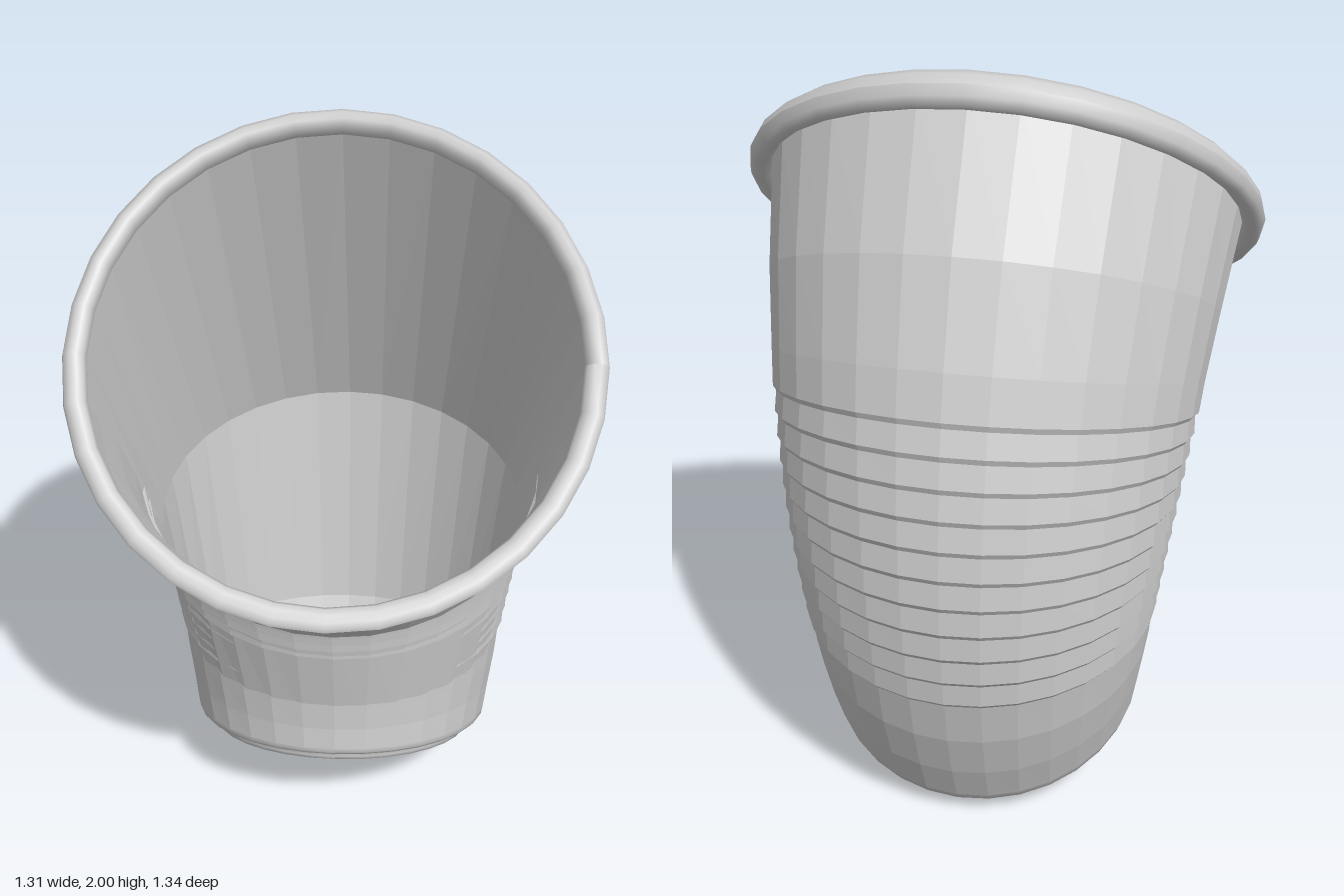
import * as THREE from 'three';

const LENGTH = 1.42;        // wall length along the curved centre line
const BEND = 1.272;         // radius of the bend
const START = -0.391;       // tilt at the base, in radians
const SIDES = 32;
const RIBS = 11;
const wallRadius = s => 0.436 + (s - 0.03) * 0.133;

// Curves an upright shape around the bend, then turns the bend plane
function bend(geometry) {
  const p = geometry.attributes.position;
  for (let i = 0; i < p.count; i++) {
    const tilt = START + p.getY(i) / BEND;
    const reach = BEND - p.getZ(i);
    const u = 1.072 - reach * Math.cos(tilt);
    const v = p.getX(i) - 0.046;
    p.setXYZ(i, 0.42 * u + 0.907 * v, 0.69 + reach * Math.sin(tilt), 0.907 * u - 0.42 * v);
  }
  return geometry;
}

export function createModel() {
  const group = new THREE.Group();
  group.name = 'bentCup';
  const plastic = new THREE.MeshStandardMaterial({ color: 0xcccccc, side: THREE.DoubleSide });
  plastic.name = 'grey plastic';

  const add = (name, geometry) => {
    geometry.computeVertexNormals();
    const mesh = new THREE.Mesh(geometry, plastic);
    mesh.name = name;
    group.add(mesh);
  };
  const lathe = points =>
    new THREE.LatheGeometry(points.map(([r, s]) => new THREE.Vector2(r, s)), SIDES);

  // Recessed floor
  add('floor', bend(lathe([[0, -0.02], [0.308, -0.02]])));

  // Rounded foot ring and the step up to the wall
  add('footRing', bend(lathe([
    [0.308, -0.02], [0.318, -0.026], [0.326, -0.042], [0.338, -0.052], [0.362, -0.054],
    [0.378, -0.046], [0.386, -0.03], [0.388, -0.008], [0.405, -0.006],
    [0.422, 0], [0.432, 0.012], [0.436, 0.03],
  ])));

  // Tapered outer wall, faceted, with small stepped ribs
  const profile = [0.03, 0.13, 0.24].map(s => [wallRadius(s), s]);
  for (let k = 0; k < RIBS; k++) {
    const s = 0.34 + k * 0.056;
    profile.push([wallRadius(s) - 0.005, s], [wallRadius(s) + 0.004, s + 0.01]);
  }
  profile.push(...[0.99, 1.17, LENGTH].map(s => [wallRadius(s), s]));
  add('outerWall', bend(lathe(profile)).toNonIndexed());

  // Smooth liner in straight sections, which covers the ribs on the inside of the bend
  const liner = [
    [0.388, -0.008], [0.42, 0.025], [wallRadius(0.17) - 0.012, 0.17],
    [wallRadius(0.7) - 0.012, 0.7], [wallRadius(LENGTH) - 0.003, LENGTH],
  ];
  add('innerWall', bend(lathe(liner)).toNonIndexed());

  // Rolled rim
  const rim = new THREE.TorusGeometry(0.647, 0.031, 10, SIDES);
  rim.rotateX(Math.PI / 2).translate(0, LENGTH, 0);
  add('rim', bend(rim));

  return group;
}
